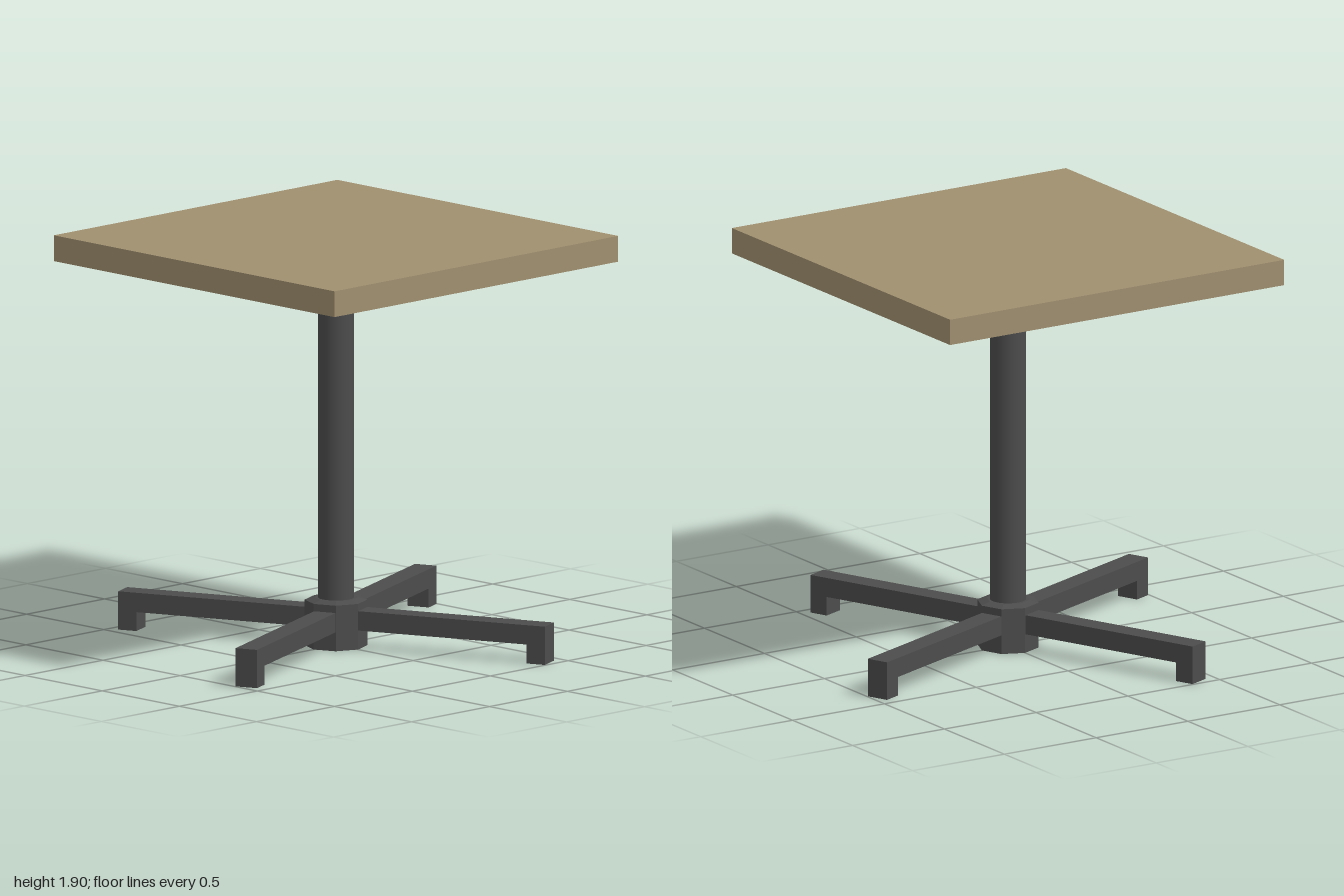
import * as THREE from 'three';

export function createModel() {
  const model = new THREE.Group();
  model.name = 'pedestalTable';
  const wood = new THREE.MeshStandardMaterial({ color: 0xa09070 });
  const metal = new THREE.MeshStandardMaterial({ color: 0x4c4c4c });
  const metalFlat = metal.clone();
  metalFlat.flatShading = true;

  const add = (name, geometry, material, y = 0) => {
    const mesh = new THREE.Mesh(geometry, material);
    mesh.name = name;
    mesh.position.y = y;
    model.add(mesh);
    return mesh;
  };

  // Square top
  add('tableTop', new THREE.BoxGeometry(1.82, 0.12, 1.82), wood, 1.845);

  // Round column, running from inside the hub to the underside of the top
  add('column', new THREE.CylinderGeometry(0.083, 0.083, 1.585, 24), metal, 0.9925);

  // Octagonal hub with a shallow sloped shoulder
  const hubProfile = [[0, 0], [0.143, 0], [0.143, 0.212], [0.1, 0.224], [0, 0.224]];
  add('hub', new THREE.LatheGeometry(hubProfile.map(([r, y]) => new THREE.Vector2(r, y)), 8), metalFlat);

  // Four legs with turned-down feet; side outline drawn outward from the hub
  const width = 0.106;
  const outline = [[0.1, 0.088], [0.965, 0.088], [0.965, 0], [1.055, 0], [1.055, 0.178], [0.1, 0.178]];
  const legGeometry = new THREE.ExtrudeGeometry(
    new THREE.Shape(outline.map(([x, y]) => new THREE.Vector2(x, y))),
    { depth: width, bevelEnabled: false }
  );
  legGeometry.translate(0, 0, -width / 2);
  legGeometry.rotateY(-Math.PI / 2); // outward direction becomes +z
  for (let i = 0; i < 4; i++) {
    add(`leg${i + 1}`, legGeometry, metalFlat).rotation.y = Math.PI / 8 + i * Math.PI / 2;
  }

  return model;
}
